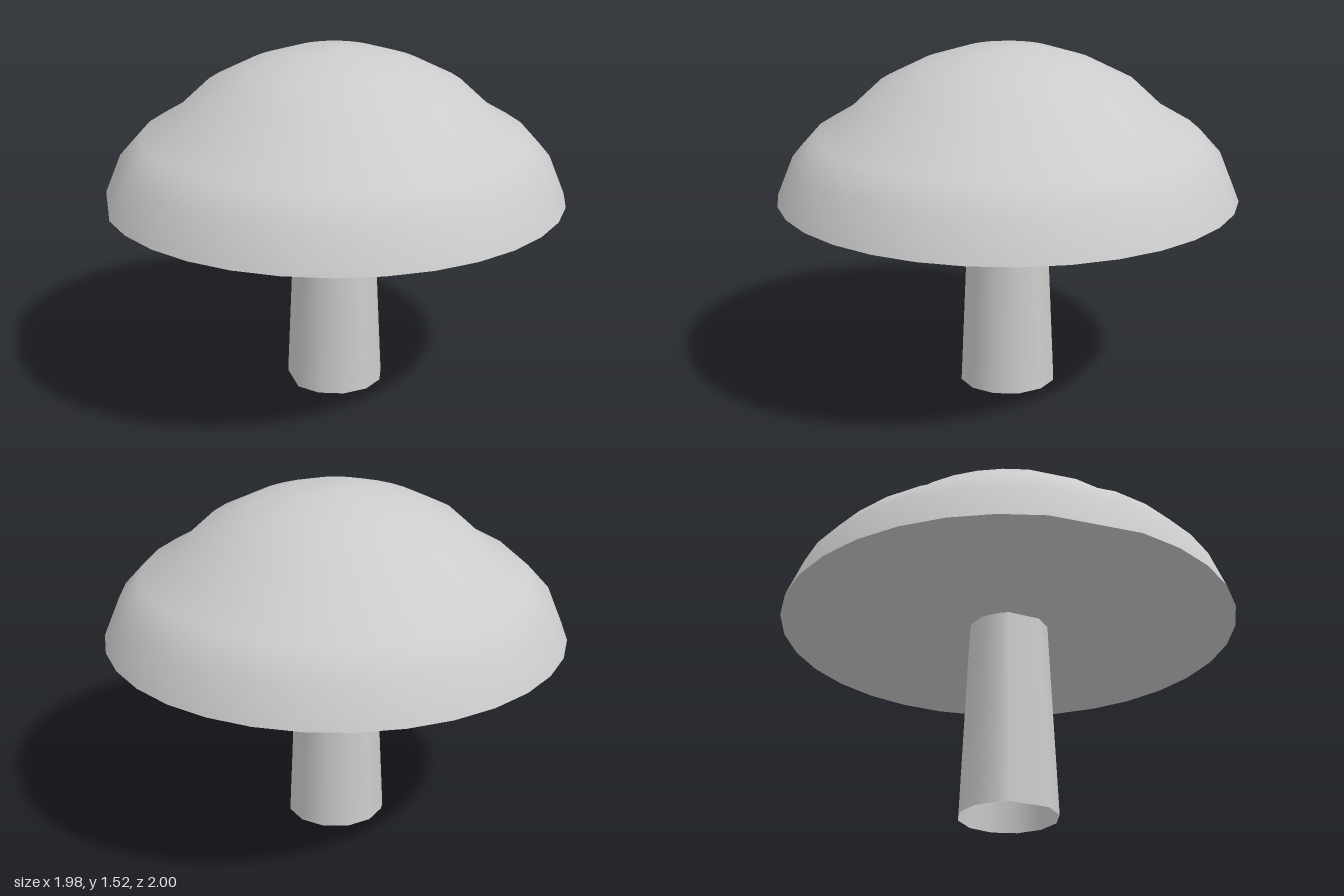
import * as THREE from 'three';

const material = new THREE.MeshStandardMaterial({ color: 0xcccccc, side: THREE.DoubleSide });

// Revolves a profile; the column of vertices on the -x side is shifted by
// (sx, sz), given as fractions of the radius, to leave a flatter strip there.
function turned(name, profile, sides, sx, sz) {
  const points = profile.map(([r, y]) => new THREE.Vector2(r, y));
  const geometry = new THREE.LatheGeometry(points, sides);
  const pos = geometry.attributes.position;
  for (let i = 0; i < pos.count; i++) {
    const x = pos.getX(i);
    if (x < -1e-5 && Math.abs(pos.getZ(i)) < 1e-5) {
      pos.setX(i, x * sx);
      pos.setZ(i, x * sz);
    }
  }
  const mesh = new THREE.Mesh(geometry, material);
  mesh.name = name;
  return mesh;
}

export function createModel() {
  const group = new THREE.Group();
  group.name = 'mushroom';
  const flat = Math.cos(Math.PI / 16);

  // Domed cap with a shallow waist part way up
  const cap = [
    [1, 0.87], [0.93, 1.04], [0.835, 1.145], [0.69, 1.23],
    [0.555, 1.355], [0.375, 1.445], [0.19, 1.503], [0, 1.52],
  ];
  group.add(turned('cap', cap, 32, flat, 0));

  // Flat underside of the cap
  group.add(turned('capUnderside', [[0, 0.87], [1, 0.87]], 32, flat, 0));

  // Tapered stem, open at the foot
  group.add(turned('stem', [[0.215, 0], [0.174, 0.87]], 12, 0.95, 0.33));

  group.position.x = -0.01;
  return group;
}
